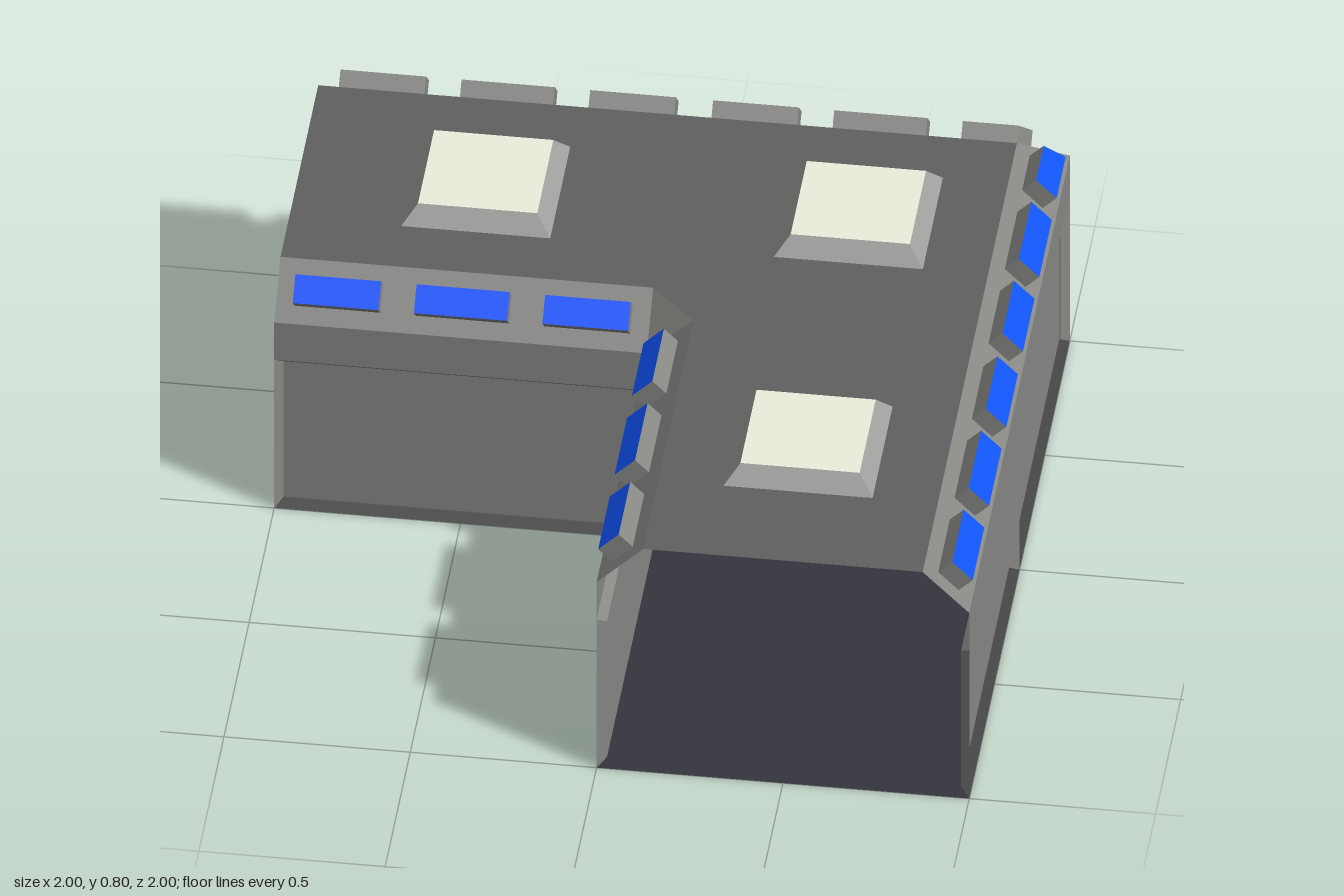
import * as THREE from 'three';

const paint = (color) => new THREE.MeshStandardMaterial({ color, side: THREE.DoubleSide, flatShading: true });
const wallGrey = paint(0x888885);
const roofGrey = paint(0x606060);
const floorDark = paint(0x35353e);
const trimDark = paint(0x444444);
const frameGrey = paint(0xa0a09e);
const blue = paint(0x1155ff);
const cream = paint(0xeeeedd);

const BAND = 0.5, EAVE = 0.625, RIDGE = 0.75, INSET = 0.125;

function named(name, geometry, material) {
  const mesh = new THREE.Mesh(geometry, material);
  mesh.name = name;
  return mesh;
}

// Flat surface from quads or triangles, corners anticlockwise from outside
function faces(name, polygons, material) {
  const points = [];
  for (const p of polygons) {
    for (let i = 1; i < p.length - 1; i++) points.push(...p[0], ...p[i], ...p[i + 1]);
  }
  const g = new THREE.BufferGeometry();
  g.setAttribute('position', new THREE.Float32BufferAttribute(points, 3));
  g.computeVertexNormals();
  return named(name, g, material);
}

// Horizontal sheet from [x, z] corners
function sheet(name, corners, y, material) {
  const shape = new THREE.Shape(corners.map(([x, z]) => new THREE.Vector2(x, -z)));
  const g = new THREE.ShapeGeometry(shape).rotateX(-Math.PI / 2).translate(0, y, 0);
  return named(name, g, material);
}

// Point on the sloped eave: t runs from eave to roof, out lifts it off the slope
const onSlope = (x, t, out = 0) => [x, EAVE + (RIDGE - EAVE) * t + out, -INSET * t + out];

// Quads joining two matching rings of corners
const ringQuads = (a, b) => a.map((p, i) => {
  const j = (i + 1) % a.length;
  return [p, a[j], b[j], b[i]];
});

// One unit of wall facing +z; mitre is -1, 0 or 1 for a cut on the left, none or right
function wallUnit(mitre) {
  const unit = new THREE.Group();
  unit.name = 'wallUnit';

  // Recessed panel with bevelled border
  const b = 0.022, d = -0.025;
  const outer = [[-0.5, 0, 0], [0.5, 0, 0], [0.5, BAND, 0], [-0.5, BAND, 0]];
  const inner = [[-0.5 + b, b, d], [0.5 - b, b, d], [0.5 - b, BAND - b, d], [-0.5 + b, BAND - b, d]];
  const [sill, ...bevels] = ringQuads(outer, inner);
  unit.add(faces('wallPanel', [inner, ...bevels], wallGrey));
  unit.add(faces('wallSill', [sill], trimDark));

  // Flat band above the panel
  unit.add(faces('wallBand', [[[-0.5, BAND, 0], [0.5, BAND, 0], [0.5, EAVE, 0], [-0.5, EAVE, 0]]], wallGrey));

  // Window outlines in slope coordinates; the mitred end window is cut short
  const low = 0.28, high = 0.72;
  const windows = [[-0.45, -0.22], [-0.125, 0.125], [0.22, 0.45]].map(([l, r], i) => {
    const cutL = mitre === -1 && i === 0, cutR = mitre === 1 && i === 2;
    return [
      [cutL ? -0.4 : l, low], [cutR ? 0.4 : r, low],
      [cutR ? 0.37 : r, high], [cutL ? -0.37 : l, high],
    ];
  });

  // Sloped eave with window openings
  const left = mitre === -1 ? -0.5 + INSET : -0.5;
  const right = mitre === 1 ? 0.5 - INSET : 0.5;
  const toVectors = (list) => list.map(([x, t]) => new THREE.Vector2(x, t));
  const shape = new THREE.Shape(toVectors([[-0.5, 0], [0.5, 0], [right, 1], [left, 1]]));
  shape.holes = windows.map((w) => new THREE.Path(toVectors(w)));
  const slope = new THREE.ShapeGeometry(shape);
  const pos = slope.attributes.position;
  for (let i = 0; i < pos.count; i++) pos.setXYZ(i, ...onSlope(pos.getX(i), pos.getY(i)));
  slope.computeVertexNormals();
  unit.add(named('eave', slope, wallGrey));

  // Raised windows, hollow behind
  for (const w of windows) {
    const base = w.map(([x, t]) => onSlope(x, t));
    const front = w.map(([x, t]) => onSlope(x, t, 0.0375));
    unit.add(faces('windowFrame', ringQuads(base, front), wallGrey));
    unit.add(faces('windowPane', [front], blue));
  }
  return unit;
}

// Roof light: bevelled frame with a pale top
function roofLight(x, z) {
  const light = new THREE.Group();
  light.name = 'roofLight';
  const frame = new THREE.CylinderGeometry(0.16 * Math.SQRT2, 0.2 * Math.SQRT2, 0.05, 4, 1, true)
    .rotateY(Math.PI / 4).translate(0, 0.025, 0);
  const pane = new THREE.PlaneGeometry(0.32, 0.32).rotateX(-Math.PI / 2).translate(0, 0.05, 0);
  light.add(named('lightFrame', frame, frameGrey), named('lightPane', pane, cream));
  light.position.set(x, RIDGE, z);
  return light;
}

export function createModel() {
  const model = new THREE.Group();
  model.name = 'cornerCorridor';

  model.add(sheet('floor', [[-1, -1], [1, -1], [1, 1], [0, 1], [0, 0], [-1, 0]], 0, floorDark));

  const e = 1 - INSET;
  model.add(sheet('roof',
    [[-1, -e], [e, -e], [e, 1], [INSET, 1], [INSET, 0], [0, -INSET], [-1, -INSET]], RIDGE, roofGrey));

  // Walls: x, z, turn, mitre
  const walls = [
    [-0.5, -1, Math.PI, 0], [0.5, -1, Math.PI, -1],
    [1, -0.5, Math.PI / 2, 1], [1, 0.5, Math.PI / 2, 0],
    [-0.5, 0, 0, 0], [0, 0.5, -Math.PI / 2, 0],
  ];
  for (const [x, z, turn, mitre] of walls) {
    const unit = wallUnit(mitre);
    unit.position.set(x, 0, z);
    unit.rotation.y = turn;
    model.add(unit);
  }

  // Triangular eave filling the inside corner
  model.add(faces('innerCornerEave', [[[0, EAVE, 0], [INSET, RIDGE, 0], [0, RIDGE, -INSET]]], wallGrey));

  for (const [x, z] of [[-0.5, -0.5], [0.5, -0.5], [0.5, 0.5]]) model.add(roofLight(x, z));

  return model;
}
